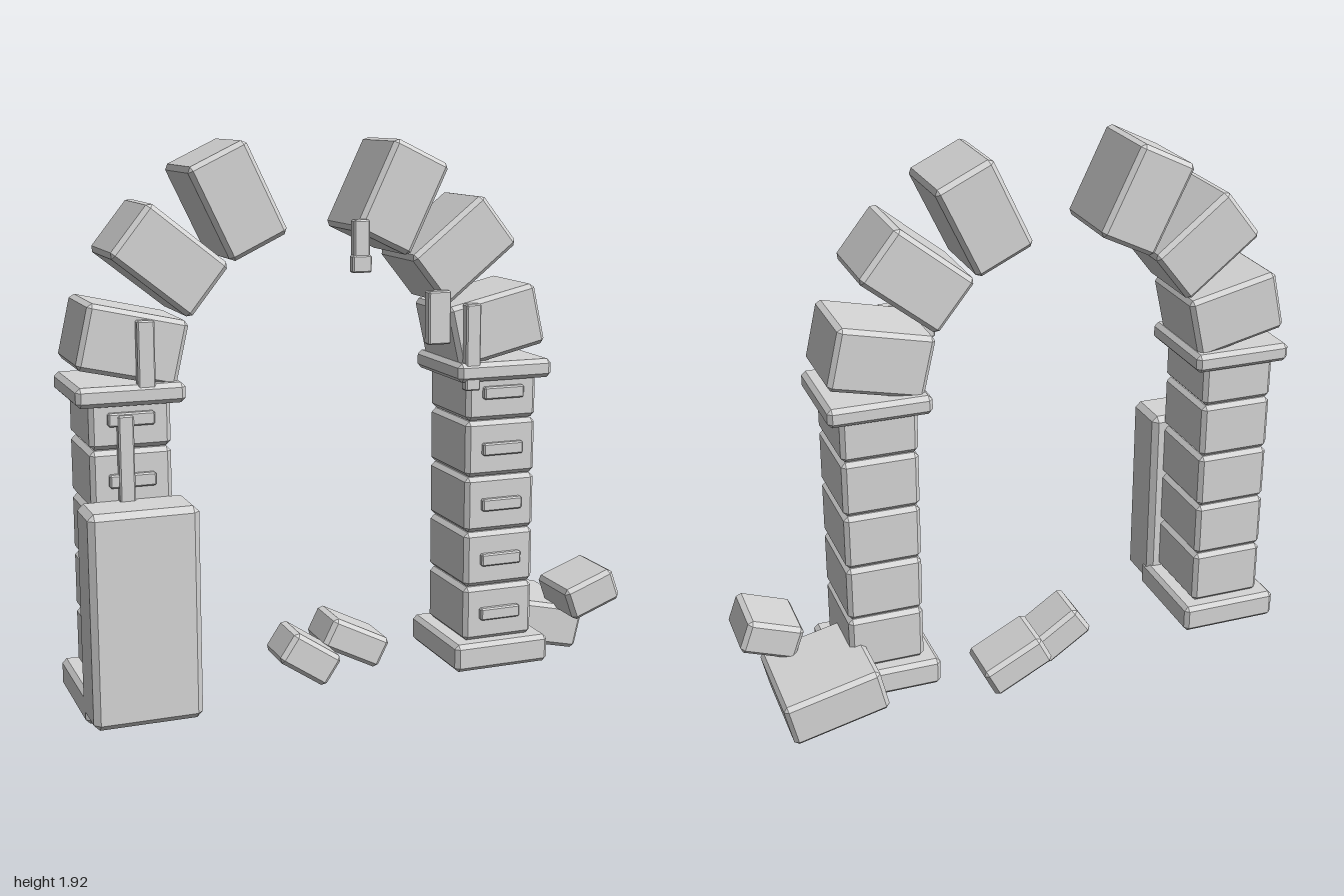
import * as THREE from 'three';
import { ConvexGeometry } from 'three/addons/geometries/ConvexGeometry.js';

const stone = new THREE.MeshStandardMaterial({ color: 0xd6d6d6 });
stone.name = 'stone';

// Box with flat 45 degree chamfers on every edge
function chamferBox(w, h, d, c) {
  const pts = [];
  for (const x of [-1, 1]) for (const y of [-1, 1]) for (const z of [-1, 1]) {
    for (let axis = 0; axis < 3; axis++) {
      const inset = [c, c, c];
      inset[axis] = 0;
      pts.push(new THREE.Vector3(
        x * (w / 2 - inset[0]), y * (h / 2 - inset[1]), z * (d / 2 - inset[2])));
    }
  }
  return new ConvexGeometry(pts);
}

function addBlock(parent, name, [w, h, d], [x, y, z], tilt = 0, c = 0.015) {
  const mesh = new THREE.Mesh(chamferBox(w, h, d, c), stone);
  mesh.name = name;
  mesh.position.set(x, y, z);
  mesh.rotation.z = tilt;
  parent.add(mesh);
}

// Block given by its x and y extents, on the front of the arch
function addStrip(parent, name, x0, x1, y0, y1, z0 = 0.15, z1 = 0.19) {
  addBlock(parent, name, [x1 - x0, y1 - y0, z1 - z0],
    [(x0 + x1) / 2, (y0 + y1) / 2, (z0 + z1) / 2], 0, 0.005);
}

// Base, five stacked blocks with raised front bars, and a capital
function makeColumn(name, x) {
  const column = new THREE.Group();
  column.name = name;
  column.position.x = x;
  addBlock(column, 'base', [0.364, 0.1, 0.4], [0, 0.099, 0.008]);
  for (let i = 0; i < 5; i++) {
    const y = 0.246 + i * 0.2;
    addBlock(column, 'columnBlock', [0.267, 0.197, 0.315], [0, y, 0.008]);
    addBlock(column, 'raisedBar', [0.152, 0.044, 0.04], [0, y, 0.165], 0, 0.005);
  }
  addBlock(column, 'capital', [0.357, 0.066, 0.374], [0, 1.123, 0.009]);
  return column;
}

export function createModel() {
  const model = new THREE.Group();
  model.name = 'ruinedArch';
  model.add(makeColumn('rightColumn', -0.818), makeColumn('leftColumn', 0.503));

  // Arch stones on a half circle of seven, with the keystone missing
  const arch = new THREE.Group();
  arch.name = 'archStones';
  for (let i = 0; i < 7; i++) {
    if (i === 3) continue;
    const a = Math.PI * (i + 0.5) / 7;
    addBlock(arch, 'archStone', [0.335, 0.217, 0.308],
      [-0.158 + 0.66 * Math.cos(a), 1.13 + 0.66 * Math.sin(a), 0.007], a);
  }
  model.add(arch);

  // Slab standing against one column
  addBlock(model, 'slab', [0.36, 0.71, 0.188], [-0.82, 0.426, 0.243], 0, 0.02);

  // Hanging strips on the front
  const strips = new THREE.Group();
  strips.name = 'hangingStrips';
  addStrip(strips, 'strip', -0.795, -0.738, 1.13, 1.36);
  addStrip(strips, 'strip', -0.864, -0.813, 0.74, 1.06, 0.155, 0.192);
  addStrip(strips, 'strip', 0.352, 0.407, 1.06, 1.36);
  addStrip(strips, 'shortStrip', 0.21, 0.293, 1.228, 1.41);
  addStrip(strips, 'strip', -0.06, -0.004, 1.53, 1.657);
  addStrip(strips, 'stripEnd', -0.067, 0.001, 1.483, 1.541, 0.16, 0.194);
  model.add(strips);

  // Fallen stones on the ground
  const rubble = new THREE.Group();
  rubble.name = 'rubble';
  const fallen = [
    [[0.345, 0.158, 0.39], [0.736, 0.134, -0.147], -13],
    [[0.204, 0.124, 0.232], [0.886, 0.265, 0.061], 20],
    [[0.208, 0.122, 0.18], [-0.16, 0.103, -0.054], -34],
    [[0.24, 0.117, 0.195], [0.057, 0.1, -0.175], -27],
  ];
  for (const [size, at, deg] of fallen) {
    addBlock(rubble, 'fallenStone', size, at, THREE.MathUtils.degToRad(deg));
  }
  model.add(rubble);
  return model;
}
